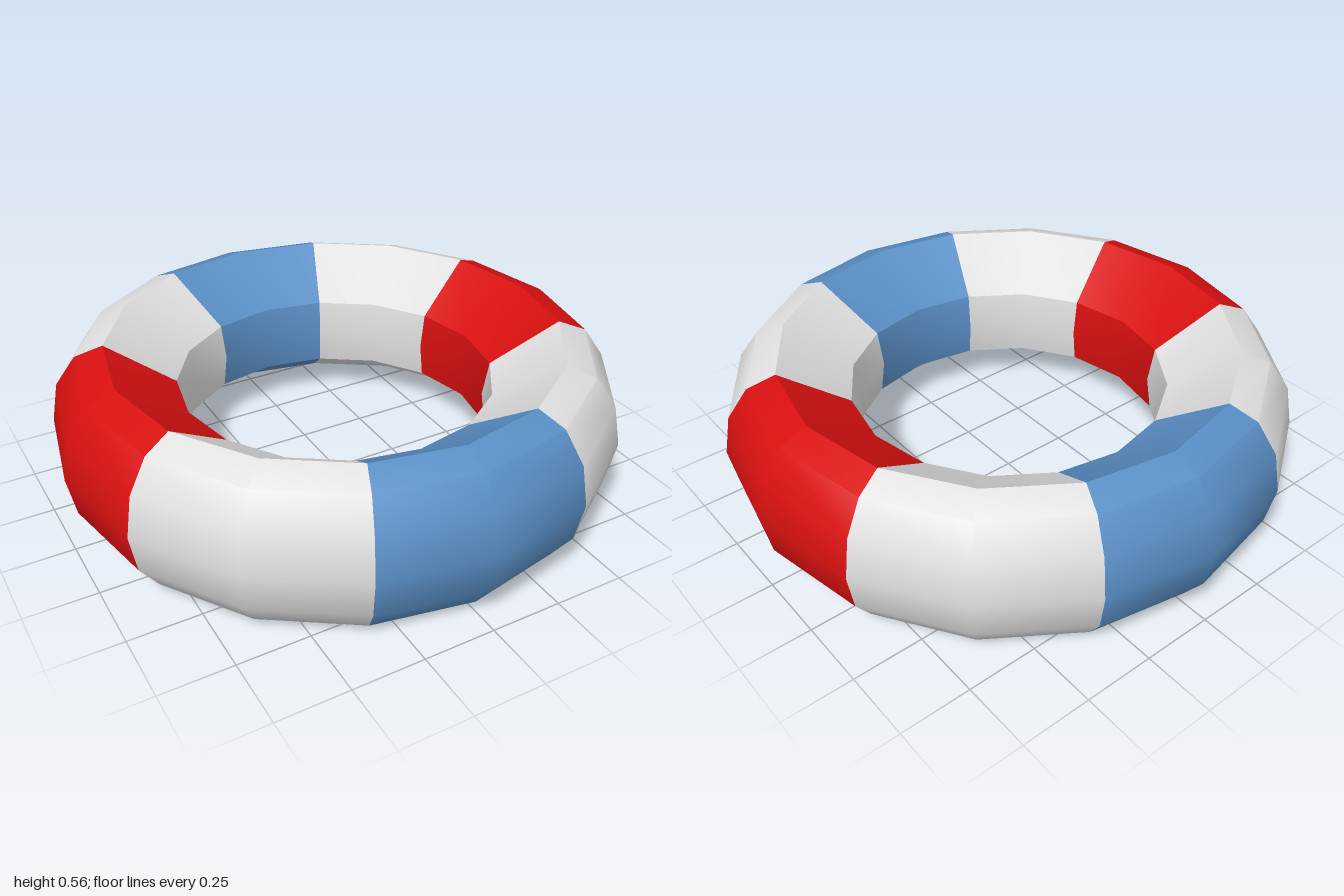
import * as THREE from 'three';
import { toCreasedNormals } from 'three/addons/utils/BufferGeometryUtils.js';

const material = (name, color) => {
  const m = new THREE.MeshStandardMaterial({ color });
  m.name = name;
  return m;
};

export function createModel() {
  const group = new THREE.Group();
  group.name = 'swimRing';

  const blue = material('blue', 0x5a8fc6);
  const white = material('white', 0xe0e0e0);
  const red = material('red', 0xd81010);

  // Tube cross-section (radius, height): up the outside, down the inside
  const profile = [
    [0.8, 0], [0.9, 0.038], [0.973, 0.142], [1, 0.2825],
    [0.973, 0.423], [0.9, 0.527], [0.8, 0.565],
    [0.56, 0.41], [0.54, 0.2825], [0.56, 0.155], [0.8, 0],
  ].map(([r, y]) => new THREE.Vector2(r, y));

  // Sixteen segments, starting so that a band is centred on the front
  const lathe = new THREE.LatheGeometry(profile, 16, -Math.PI / 8);
  lathe.deleteAttribute('normal');
  lathe.deleteAttribute('uv');
  const geometry = toCreasedNormals(lathe, THREE.MathUtils.degToRad(35));

  // Eight colour bands, two segments each
  const bandSize = 2 * (profile.length - 1) * 6;
  const bands = [0, 1, 2, 1];
  geometry.clearGroups();
  for (let i = 0; i < 8; i++) geometry.addGroup(i * bandSize, bandSize, bands[i % 4]);

  const ring = new THREE.Mesh(geometry, [blue, white, red]);
  ring.name = 'stripedRing';
  group.add(ring);
  return group;
}
